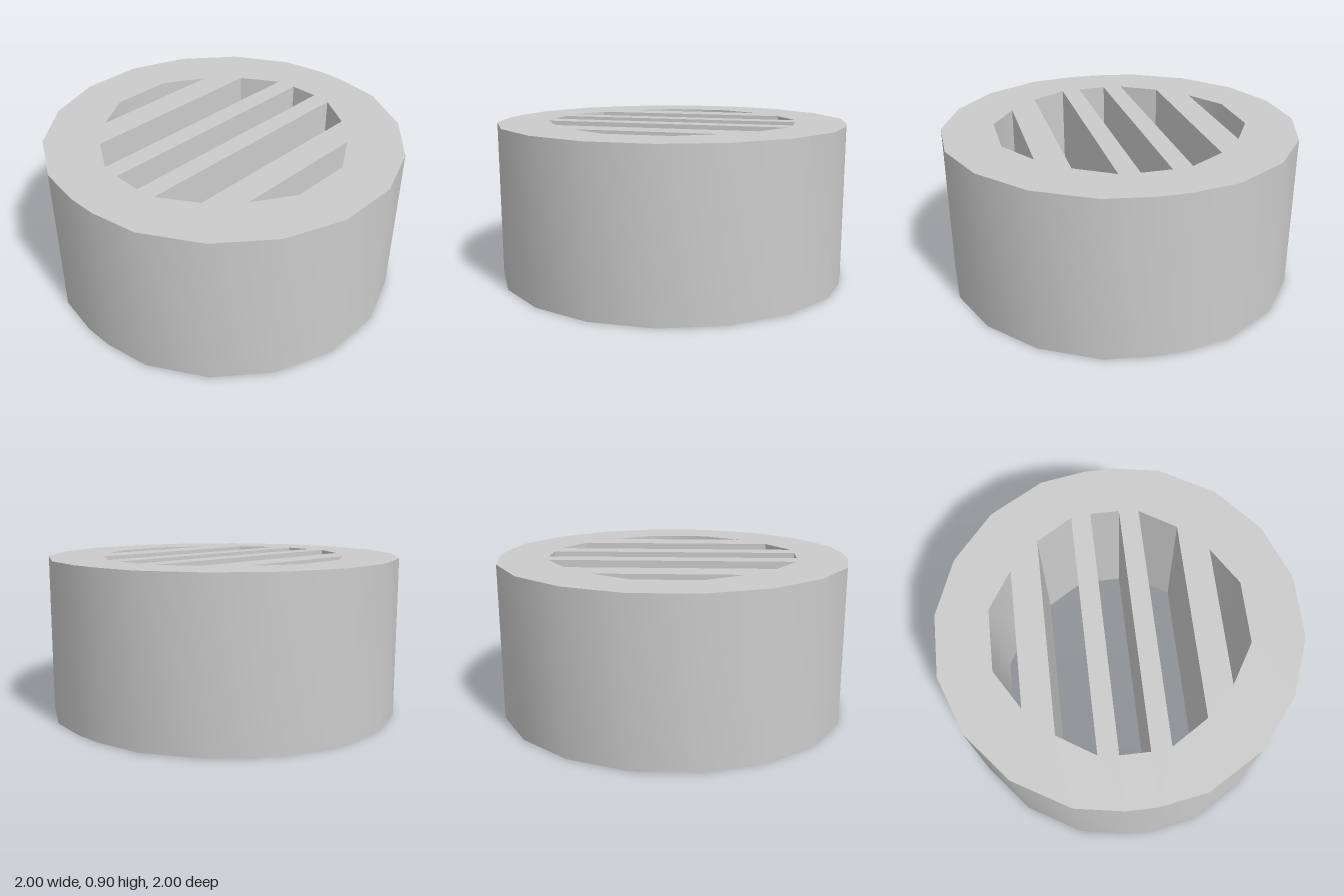
import * as THREE from 'three';
import { toCreasedNormals } from 'three/addons/utils/BufferGeometryUtils.js';

const HEIGHT = 0.9;
const toPoints = (list) => list.map(([x, z]) => new THREE.Vector2(x, z));

// Full outline from one quadrant, listed from the side (+x) round to the front
function mirrorQuadrant(q) {
  const back = [...q].reverse();
  return toPoints([
    ...q,
    ...back.map(([x, z]) => [-x, z]),
    ...q.map(([x, z]) => [-x, -z]),
    ...back.map(([x, z]) => [x, -z]),
  ]);
}

// Slot outline from its right half, mirrored in x; side = -1 flips it in z
function mirrorSlot(half, side) {
  const right = half.map(([x, z]) => [x, z * side]);
  const left = [...right].reverse().map(([x, z]) => [-x, z]);
  return new THREE.Path(toPoints([...right, ...left]));
}

export function createModel() {
  const group = new THREE.Group();
  group.name = 'slottedDrum';

  // Faceted round body with clipped sides
  const body = new THREE.Shape(mirrorQuadrant([
    [1, 0.085], [0.955, 0.347], [0.777, 0.652], [0.507, 0.878], [0.18, 1],
  ]));

  // Five slots running right through, leaving four full-height bars
  const middleSlot = [[0.713, -0.083], [0.713, 0.083]];
  const wideSlot = [[0.7, 0.195], [0.57, 0.402]];
  const endSlot = [[0.405, 0.565], [0.18, 0.703]];
  body.holes.push(mirrorSlot(middleSlot, 1));
  for (const side of [1, -1]) {
    body.holes.push(mirrorSlot(wideSlot, side), mirrorSlot(endSlot, side));
  }

  const geometry = new THREE.ExtrudeGeometry(body, { depth: HEIGHT, bevelEnabled: false });
  geometry.rotateX(-Math.PI / 2);

  const drum = new THREE.Mesh(
    toCreasedNormals(geometry, THREE.MathUtils.degToRad(35)),
    new THREE.MeshStandardMaterial({ color: 0xcccccc }),
  );
  drum.name = 'drumWithBars';
  group.add(drum);
  return group;
}
